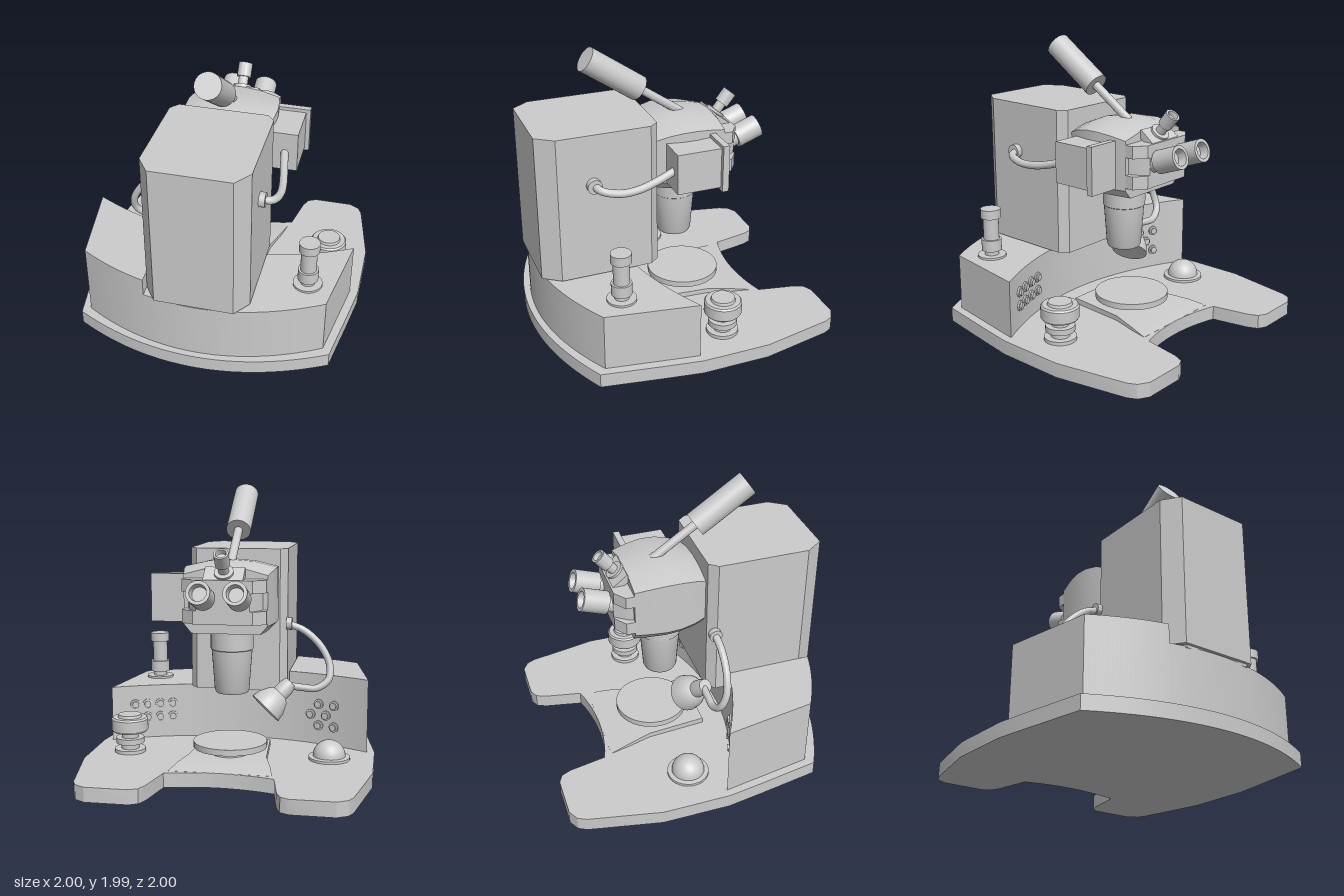
import * as THREE from 'three';
import { toCreasedNormals } from 'three/addons/utils/BufferGeometryUtils.js';

export function createModel() {
  const model = new THREE.Group();
  const material = new THREE.MeshStandardMaterial({ color: 0xcccccc, side: THREE.DoubleSide });
  const V = (x, y, z) => new THREE.Vector3(x, y, z);

  const add = (name, geometry, crease = 0.5) => {
    const mesh = new THREE.Mesh(toCreasedNormals(geometry, crease), material);
    mesh.name = name;
    model.add(mesh);
    return mesh;
  };

  // Plan outline of [x, z] points raised from y0 to y1
  const slab = (name, points, y0, y1) => {
    const shape = new THREE.Shape(points.map(([x, z]) => new THREE.Vector2(x, -z)));
    const geometry = new THREE.ExtrudeGeometry(shape, { depth: y1 - y0, bevelEnabled: false });
    return add(name, geometry.rotateX(-Math.PI / 2).translate(0, y0, 0));
  };

  // Turned part: [radius, height] profile standing at a point along a direction
  const turned = (name, profile, at, dir = V(0, 1, 0)) => {
    const geometry = new THREE.LatheGeometry(profile.map(([r, h]) => new THREE.Vector2(r, h)), 32);
    const mesh = add(name, geometry);
    mesh.position.copy(at);
    mesh.quaternion.setFromUnitVectors(V(0, 1, 0), dir.clone().normalize());
    return mesh;
  };

  const cable = (name, radius, points) => add(name,
    new THREE.TubeGeometry(new THREE.CatmullRomCurve3(points.map(p => V(...p))), 48, radius, 14), 1);

  // Skin over rings of [x, y] points, given from front to back
  const loft = (name, sections) => {
    const n = sections[0].ring.length, position = [], index = [];
    sections.forEach(({ z, ring }) => ring.forEach(([x, y]) => position.push(x, y, z)));
    for (let i = 0; i < sections.length - 1; i++) {
      for (let j = 0; j < n; j++) {
        const a = i * n + j, b = i * n + (j + 1) % n;
        index.push(a, a + n, b, b, a + n, b + n);
      }
    }
    const last = (sections.length - 1) * n;
    for (let j = 1; j < n - 1; j++) index.push(0, j, j + 1, last, last + j + 1, last + j);
    const geometry = new THREE.BufferGeometry();
    geometry.setAttribute('position', new THREE.Float32BufferAttribute(position, 3));
    geometry.setIndex(index);
    return add(name, geometry);
  };

  const mirror = half => [...half, ...half.slice().reverse().map(([x, z]) => [-x, z])];
  const span = (a, b, n, f) => Array.from({ length: n + 1 }, (_, i) => f(a + (b - a) * i / n));

  // Foot plate with two armrests and a bowed front
  const plate = [
    ...span(0.02, 0.89, 12, x => [x, 1 - 0.24 * (x / 0.89) ** 2]),
    [0.96, 0.34], [1, 0.08], [1, -0.4], [0.9, -0.9], [0.87, -0.96], [0.8, -1],
    [0.51, -1], [0.45, -0.97], [0.42, -0.9], [0.37, -0.64],
    ...span(0.3, 0.02, 5, x => [x, -0.585 - 0.055 * (x / 0.37) ** 2]),
  ];
  slab('basePlate', mirror(plate), 0, 0.1);

  // Curved rear body, one end higher than the other
  const innerZ = x => 0.335 - 0.255 * (x / 0.94) ** 2;
  const body = (x0, x1) => [
    ...span(x0, x1, 20, x => [x, innerZ(x)]),
    ...span(Math.min(x1, 0.84), Math.max(x0, -0.84), 20, x => [x, 0.955 - 0.245 * (x / 0.84) ** 2]),
  ];
  slab('lowBody', body(-0.36, 0.94), 0.1, 0.5);
  slab('highBody', body(-0.945, -0.36), 0.1, 0.625);

  // Chamfered column
  slab('column', mirror([[0.27, 0.96], [0.355, 0.84], [0.355, 0.2], [0.305, 0.14]]), 0.51, 1.54);
  slab('columnFoot', mirror([[0.25, 0.94], [0.33, 0.82], [0.33, 0.3]]), 0.49, 0.52);

  // Barrel-shaped microscope head
  const headRing = (w, top, bottom) => [
    [-w * 0.82, bottom], [w * 0.82, bottom], [w, bottom + 0.06], [w, top - 0.05],
    [w * 0.5, top - 0.012], [0, top], [-w * 0.5, top - 0.012], [-w, top - 0.05], [-w, bottom + 0.06],
  ];
  loft('head', [
    [0.15, 0.265, 1.43, 1.03], [0.06, 0.298, 1.465, 1.015], [-0.04, 0.317, 1.483, 1.005],
    [-0.14, 0.32, 1.485, 1], [-0.25, 0.307, 1.472, 1], [-0.36, 0.285, 1.45, 1],
  ].map(([z, w, top, bottom]) => ({ z, ring: headRing(w, top, bottom) })));

  // Eyepiece housing, wide above and below with a drawn-in waist
  const wings = mirror([[0.285, -0.34], [0.285, -0.42], [0.2, -0.48]]);
  slab('housingTop', wings, 1.29, 1.375);
  slab('housingBottom', wings, 1.08, 1.17);
  slab('housingWaist', mirror([[0.26, -0.34], [0.24, -0.4], [0.18, -0.48]]), 1.16, 1.3);
  const portPlate = add('portPlate', new THREE.BoxGeometry(0.27, 0.05, 0.14));
  portPlate.position.set(0, 1.39, -0.405);
  portPlate.rotation.x = -0.66;

  // Pair of hollow eyepieces
  for (const x of [-0.12, 0.12]) {
    turned('eyepiece', [[0, 0], [0.06, 0], [0.06, 0.09], [0.08, 0.09], [0.08, 0.27],
      [0.057, 0.27], [0.05, 0.21], [0, 0.21]], V(x, 1.225, -0.43), V(0, 0.34, -0.94));
  }

  // Small port tube above the eyepieces
  turned('portTube', [[0, 0], [0.065, 0], [0.065, 0.03], [0.035, 0.03], [0.035, 0.09],
    [0.05, 0.09], [0.05, 0.19], [0.036, 0.19], [0.03, 0.16], [0, 0.16]],
    V(0, 1.405, -0.405), V(0, 0.78, -0.63));

  // Objective below the head
  turned('objective', [[0, 0.55], [0.113, 0.55], [0.122, 0.57], [0.143, 0.855], [0.15, 0.86],
    [0.15, 1.03], [0, 1.03]], V(0, 0, -0.105));

  // Lift lever with a thick grip
  turned('lever', [[0, 0], [0.03, 0], [0.03, 0.37], [0.088, 0.37], [0.088, 0.815], [0, 0.815]],
    V(0, 1.46, -0.15), V(0, 0.565, 0.825));

  // Monitor at the side of the head
  const monitor = add('monitorBox', new THREE.BoxGeometry(0.24, 0.285, 0.31));
  monitor.position.set(0.38, 1.228, -0.085);
  const bezel = add('monitorBezel', new THREE.BoxGeometry(0.24, 0.33, 0.045));
  bezel.position.set(0.41, 1.23, -0.262);

  // Monitor cable and its socket
  cable('monitorCable', 0.027, [[0.36, 1.19, 0.6], [0.43, 1.175, 0.57], [0.46, 1.15, 0.46],
    [0.455, 1.15, 0.33], [0.43, 1.18, 0.18], [0.41, 1.22, 0.06]]);
  turned('cableSocket', [[0, 0], [0.05, 0], [0.05, 0.045], [0, 0.045]], V(0.35, 1.19, 0.6), V(1, 0, 0));

  // Gooseneck lamp
  turned('lampSocket', [[0, 0], [0.045, 0], [0.045, 0.04], [0, 0.04]], V(-0.35, 1, 0.18), V(-1, 0, 0));
  cable('gooseneck', 0.026, [[-0.36, 1, 0.18], [-0.48, 0.95, 0.185], [-0.6, 0.84, 0.18],
    [-0.665, 0.71, 0.16], [-0.66, 0.61, 0.125], [-0.58, 0.55, 0.1], [-0.48, 0.55, 0.1], [-0.38, 0.56, 0.1]]);
  turned('lampShade', [[0, 0], [0.05, 0], [0.06, 0.05], [0.06, 0.11], [0.085, 0.13], [0.12, 0.2],
    [0.13, 0.26], [0.12, 0.26], [0, 0.24]], V(-0.39, 0.58, 0.11), V(0.66, -0.68, -0.32));

  // Low ramp and round stage
  loft('ramp', [[0.15, 0.24, 0.14], [-0.27, 0.27, 0.135], [-0.45, 0.32, 0.122], [-0.585, 0.35, 0.101]]
    .map(([z, w, h]) => ({ z, ring: [[-w, 0.09], [w, 0.09], [w, h], [-w, h]] })));
  turned('stage', [[0, 0.1], [0.15, 0.1], [0.15, 0.175], [0.26, 0.175], [0.26, 0.218], [0, 0.218]],
    V(0, 0, -0.178));

  // Focus knob on one armrest, trackball on the other
  turned('focusKnob', [[0, 0.1], [0.11, 0.1], [0.11, 0.125], [0.065, 0.125], [0.065, 0.165],
    [0.1, 0.165], [0.1, 0.205], [0.06, 0.205], [0.06, 0.25], [0.12, 0.25], [0.13, 0.265],
    [0.13, 0.34], [0.12, 0.352], [0.085, 0.352], [0.08, 0.372], [0, 0.372]], V(0.73, 0, -0.175));
  turned('trackballRing', [[0, 0.1], [0.145, 0.1], [0.145, 0.118], [0.12, 0.122], [0, 0.122]], V(-0.69, 0, -0.12));
  turned('trackball', span(0, Math.PI / 2, 10, a => [0.114 * Math.cos(a), 0.12 + 0.114 * Math.sin(a)]),
    V(-0.69, 0, -0.12));

  // Control post on the low body
  turned('controlPost', [[0, 0.5], [0.1, 0.5], [0.1, 0.515], [0.05, 0.515], [0.05, 0.548], [0.07, 0.548],
    [0.07, 0.63], [0.055, 0.63], [0.055, 0.785], [0.07, 0.785], [0.07, 0.85], [0, 0.85]], V(0.685, 0, 0.535));

  // Buttons set square to the curved inner wall
  const button = (x, y) => turned('button', [[0, -0.01], [0.036, -0.01], [0.036, 0.012], [0.024, 0.014],
    [0.024, 0.026], [0, 0.026]], V(x, y, innerZ(x)), V(-0.577 * x, 0, -1));
  for (const x of [0.52, 0.61, 0.7, 0.785]) for (const y of [0.26, 0.36]) button(x, y);
  for (const [y, shift] of [[0.24, 0], [0.32, 0.06], [0.4, 0]]) {
    for (const x of [-0.7, -0.585]) button(x + shift, y);
  }

  return model;
}
